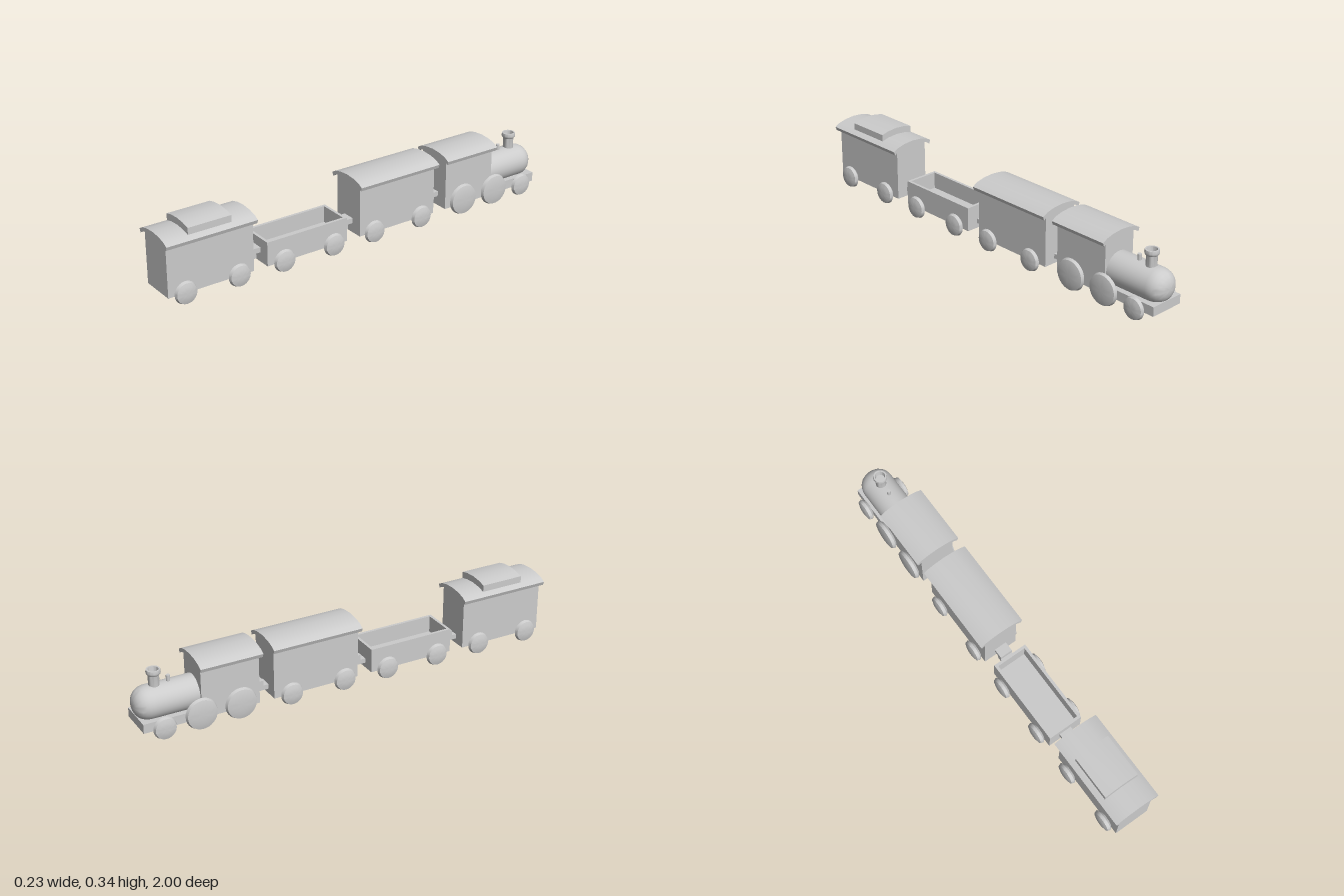
import * as THREE from 'three';
import { toCreasedNormals } from 'three/addons/utils/BufferGeometryUtils.js';

const material = new THREE.MeshStandardMaterial({ color: 0xcccccc });
const openMaterial = new THREE.MeshStandardMaterial({ color: 0xcccccc, side: THREE.DoubleSide });

function add(parent, name, geometry, mat = material) {
  const mesh = new THREE.Mesh(geometry, mat);
  mesh.name = name;
  parent.add(mesh);
  return mesh;
}

function box(parent, name, w, y0, y1, z0, z1, x = 0) {
  const mesh = add(parent, name, new THREE.BoxGeometry(w, y1 - y0, Math.abs(z1 - z0)));
  mesh.position.set(x, (y0 + y1) / 2, (z0 + z1) / 2);
  return mesh;
}

// Extrude an x-y outline from z0 to z1 (z0 < z1), smoothing shallow angles
function prism(parent, name, points, z0, z1) {
  const shape = new THREE.Shape(points.map(([x, y]) => new THREE.Vector2(x, y)));
  const geometry = new THREE.ExtrudeGeometry(shape, { depth: z1 - z0, bevelEnabled: false });
  geometry.translate(0, 0, z0);
  return add(parent, name, toCreasedNormals(geometry, 0.5));
}

// Complete half an arch (from +x to the centre) by mirroring
const arch = (half) => [...half, ...half.slice(0, -1).reverse().map(([x, y]) => [-x, y])];

const roofTop = arch([[0.11, 0.29], [0.085, 0.304], [0.048, 0.313], [0, 0.317]]);
const roofUnder = arch([[0.104, 0.273], [0.084, 0.286], [0.048, 0.295], [0, 0.299]]);
const bodyTop = arch([[0.084, 0.289], [0.048, 0.297], [0, 0.301]]);
const cupolaTop = arch([[0.085, 0.335], [0.048, 0.344], [0, 0.348]]);

const roof = (parent, z0, z1) => prism(parent, 'roof', [...roofTop, ...roofUnder.slice().reverse()], z0, z1);
const body = (parent, name, z0, z1) => prism(parent, name, [[-0.084, 0.045], [0.084, 0.045], ...bodyTop], z0, z1);

// Pair of lens-shaped wheels with a bevelled rim
function wheelPair(parent, z, r) {
  const profile = [[0, 0.079], [r * 0.7, 0.08], [r - 0.013, 0.082], [r, 0.094], [r - 0.005, 0.108],
    [r - 0.009, 0.109], [r * 0.6, 0.113], [r * 0.3, 0.1145], [0, 0.115]];
  const lathe = new THREE.LatheGeometry(profile.map(([a, b]) => new THREE.Vector2(a, b)), 32);
  const geometry = toCreasedNormals(lathe, 0.5);
  for (const side of [1, -1]) {
    const wheel = add(parent, side > 0 ? 'leftWheel' : 'rightWheel', geometry);
    wheel.rotation.z = -side * Math.PI / 2;
    wheel.position.set(0, r + 0.003, z);
  }
}

// Overlapping hooks: the lower on the car at z1, the upper on the car at z0
function coupler(parent, z0, z1) {
  box(parent, 'lowerHook', 0.06, 0.068, 0.09, z1 - 0.046, z1 + 0.003);
  box(parent, 'upperHook', 0.06, 0.09, 0.114, z0 - 0.003, z0 + 0.046);
}

function group(parent, name) {
  const g = new THREE.Group();
  g.name = name;
  parent.add(g);
  return g;
}

function buildEngine(train) {
  const engine = group(train, 'engine');
  box(engine, 'footplate', 0.164, 0.045, 0.088, -0.987, -0.7);
  body(engine, 'cab', -0.723, -0.453);
  roof(engine, -0.732, -0.443);

  // Boiler with a rounded nose, lying along -z
  const nose = [[0, 0.7], [0.076, 0.7], [0.076, 0.93], [0.0745, 0.945], [0.07, 0.96], [0.062, 0.974],
    [0.05, 0.986], [0.034, 0.995], [0.016, 0.999], [0, 1.0]];
  const boiler = add(engine, 'boiler', toCreasedNormals(
    new THREE.LatheGeometry(nose.map(([r, l]) => new THREE.Vector2(r, l)), 40), 0.6));
  boiler.rotation.x = -Math.PI / 2;
  boiler.position.y = 0.141;

  // Hollow chimney with a wider lip
  const stack = [[0.024, 0.19], [0.024, 0.262], [0.03, 0.268], [0.032, 0.276], [0.03, 0.288],
    [0.023, 0.288], [0.02, 0.262], [0, 0.262]];
  const chimney = add(engine, 'chimney', toCreasedNormals(
    new THREE.LatheGeometry(stack.map(([r, y]) => new THREE.Vector2(r, y)), 28), 0.6), openMaterial);
  chimney.position.z = -0.897;

  const whistle = add(engine, 'whistle', new THREE.CylinderGeometry(0.009, 0.009, 0.045, 16));
  whistle.position.set(0, 0.221, -0.833);

  wheelPair(engine, -0.547, 0.073);
  wheelPair(engine, -0.73, 0.073);
  wheelPair(engine, -0.897, 0.052);
}

function buildPassengerCar(train) {
  const car = group(train, 'passengerCar');
  body(car, 'carBody', -0.384, 0.028);
  roof(car, -0.393, 0.037);
  for (const z of [-0.304, -0.043]) wheelPair(car, z, 0.052);
}

function buildOpenWagon(train) {
  const wagon = group(train, 'openWagon');
  const z0 = 0.098, z1 = 0.51, t = 0.013;
  box(wagon, 'floor', 0.168, 0.045, 0.08, z0, z1);
  for (const s of [1, -1]) box(wagon, 'sideWall', t, 0.08, 0.157, z0, z1, s * (0.084 - t / 2));
  box(wagon, 'backWall', 0.168 - 2 * t, 0.08, 0.157, z0, z0 + t);
  box(wagon, 'frontWall', 0.168 - 2 * t, 0.08, 0.157, z1 - t, z1);
  for (const z of [0.175, 0.432]) wheelPair(wagon, z, 0.052);
}

function buildCaboose(train) {
  const caboose = group(train, 'caboose');
  body(caboose, 'cabooseBody', 0.578, 0.991);
  roof(caboose, 0.568, 1.0);
  prism(caboose, 'cupola', [[-0.085, 0.3], [0.085, 0.3], ...cupolaTop], 0.68, 0.886);
  for (const z of [0.657, 0.915]) wheelPair(caboose, z, 0.052);
}

export function createModel() {
  const train = new THREE.Group();
  train.name = 'train';
  buildEngine(train);
  buildPassengerCar(train);
  buildOpenWagon(train);
  buildCaboose(train);

  const couplers = group(train, 'couplers');
  coupler(couplers, -0.453, -0.384);
  coupler(couplers, 0.028, 0.098);
  coupler(couplers, 0.51, 0.578);
  return train;
}
